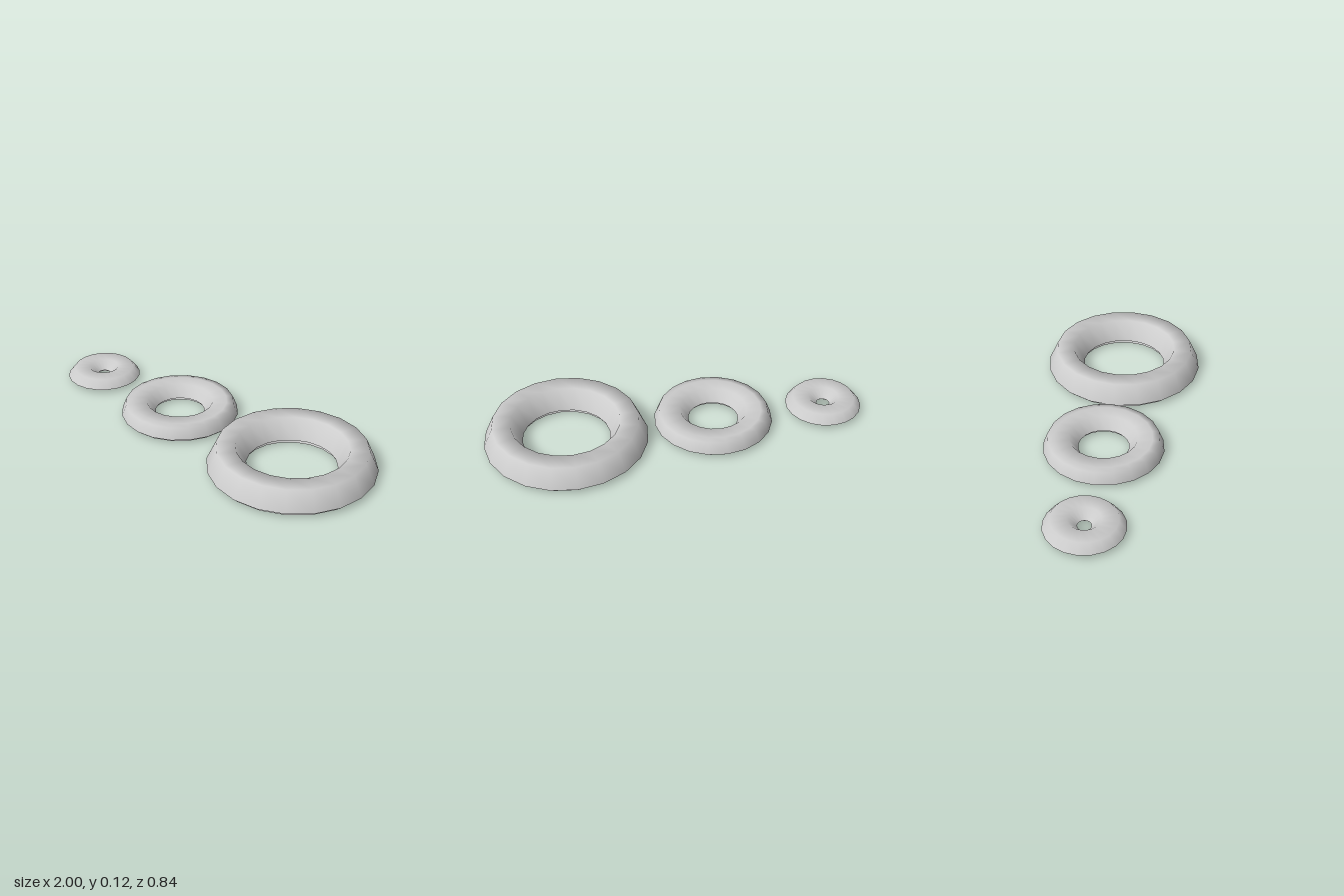
import * as THREE from 'three';

const SIDES = 20;

// Revolve a half-ring profile, listed from its outer edge over the top to the hole
function shell(name, points, material) {
  const profile = points.map(([r, y]) => new THREE.Vector2(r, y));
  const mesh = new THREE.Mesh(new THREE.LatheGeometry(profile, SIDES), material);
  mesh.name = name;
  return mesh;
}

export function createModel() {
  const group = new THREE.Group();
  group.name = 'ringMoulds';
  const material = new THREE.MeshStandardMaterial({ color: 0xcccccc, side: THREE.DoubleSide });

  // Each ring: centre x, and profiles of its upper skin and its inner lining
  const rings = [
    {
      name: 'smallRing', x: -0.8,
      outer: [[0.2, 0.02], [0.163, 0.065], [0.08, 0.065], [0.034, 0.02]],
      inner: [[0.182, 0.01], [0.148, 0.052], [0.088, 0.052], [0.045, 0.01]],
    },
    {
      name: 'mediumRing', x: -0.196,
      outer: [[0.31, 0.019], [0.286, 0.077], [0.25, 0.082], [0.175, 0.08], [0.13, 0.019]],
      inner: [[0.292, 0.004], [0.27, 0.06], [0.24, 0.064], [0.182, 0.062], [0.143, 0.004]],
    },
    {
      name: 'largeRing', x: 0.578,
      outer: [[0.422, 0.022], [0.375, 0.125], [0.28, 0.125], [0.225, 0.022]],
      inner: [[0.398, 0], [0.357, 0.103], [0.288, 0.103], [0.24, 0]],
    },
  ];

  for (const { name, x, outer, inner } of rings) {
    const ring = new THREE.Group();
    ring.name = name;
    ring.position.x = x;
    ring.add(shell('outerShell', outer, material));
    // Lining faces down and in, so its profile runs the other way
    ring.add(shell('innerLining', inner.slice().reverse(), material));
    group.add(ring);
  }
  return group;
}
